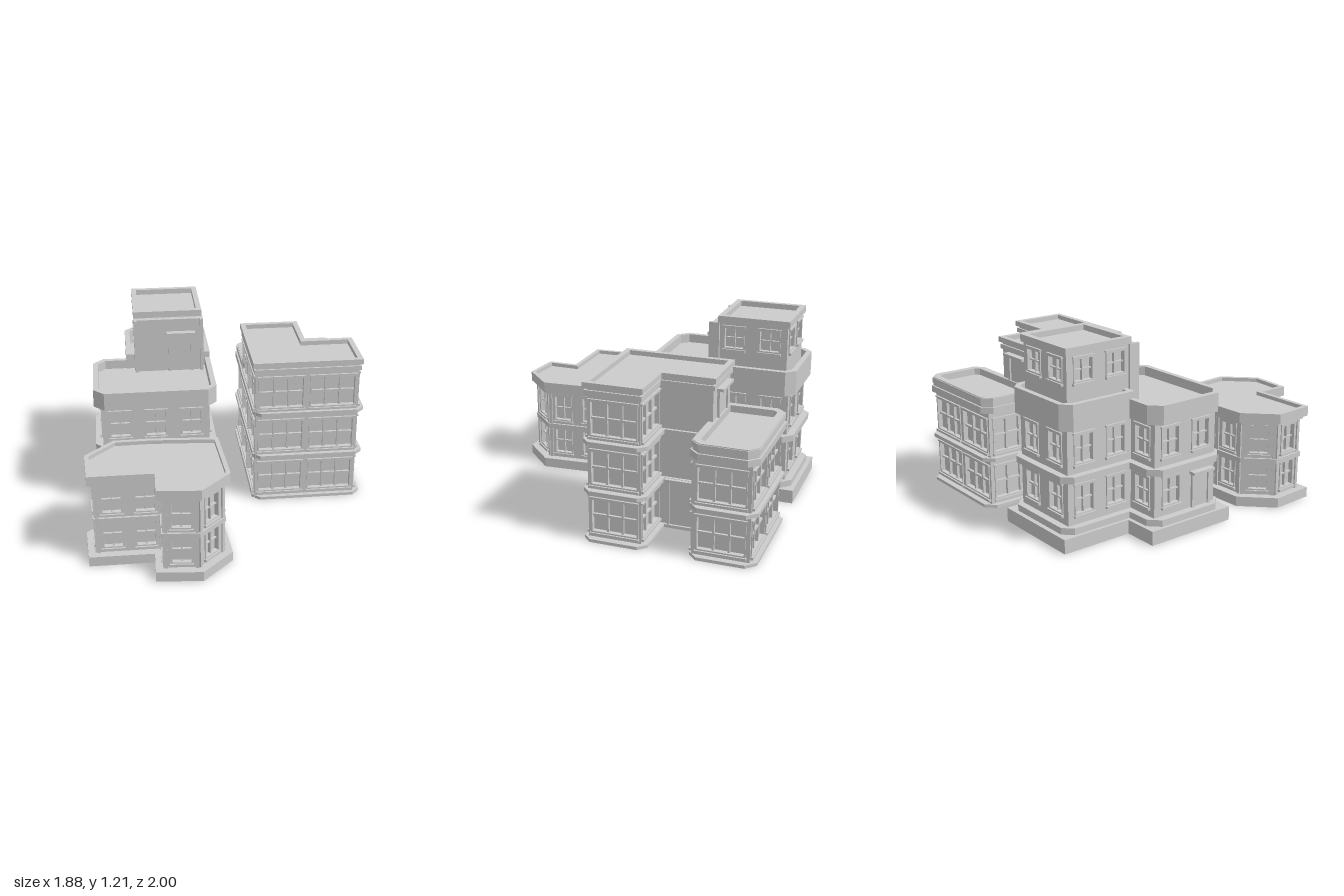
import * as THREE from 'three';

const MAT = new THREE.MeshStandardMaterial({ color: 0xcccccc, flatShading: true });
const WALL = 0.025; // facade thickness, also the window recess

function add(parent, geometry, name) {
  const m = new THREE.Mesh(geometry, MAT);
  m.name = name;
  parent.add(m);
  return m;
}

function box(parent, name, x0, x1, y0, y1, z0, z1) {
  const m = add(parent, new THREE.BoxGeometry(x1 - x0, y1 - y0, z1 - z0), name);
  m.position.set((x0 + x1) / 2, (y0 + y1) / 2, (z0 + z1) / 2);
  return m;
}

const rect = (x0, x1, z0, z1) => [[x0, z0], [x0, z1], [x1, z1], [x1, z0]];
const rectPath = (x, y, w, h) => [[x, y], [x + w, y], [x + w, y + h], [x, y + h]].map(p => new THREE.Vector2(...p));

// Outline moved inward by d, with mitred corners
function inset(poly, d) {
  const n = poly.length;
  const normal = (a, b) => {
    const l = Math.hypot(b[0] - a[0], b[1] - a[1]);
    return [-(b[1] - a[1]) / l, (b[0] - a[0]) / l];
  };
  return poly.map((v, i) => {
    const p = normal(poly[(i + n - 1) % n], v), q = normal(v, poly[(i + 1) % n]);
    const k = d / (1 + p[0] * q[0] + p[1] * q[1]);
    return [v[0] - k * (p[0] + q[0]), v[1] - k * (p[1] + q[1])];
  });
}

// Vertical extrusion of a plan outline, optionally hollow
function prism(parent, name, poly, y0, y1, hole) {
  const pts = o => o.map(([x, z]) => new THREE.Vector2(x, -z));
  const shape = new THREE.Shape(pts(poly));
  if (hole) shape.holes.push(new THREE.Path(pts(hole)));
  const g = new THREE.ExtrudeGeometry(shape, { depth: y1 - y0, bevelEnabled: false });
  g.rotateX(-Math.PI / 2);
  add(parent, g, name).position.y = y0;
}

// Roof slab with a raised rim
function parapet(parent, name, poly, y0, yFloor, y1, t) {
  prism(parent, name + 'Slab', poly, y0, yFloor);
  prism(parent, name + 'Rim', poly, yFloor, y1, inset(poly, t));
}

// Trim, mullions, sill and header of a window, on a wall facing local +z
function windowUnit(parent, x, y, w, h, cols, rows) {
  const g = new THREE.Group();
  g.name = 'window';
  g.position.set(x, y, 0);
  parent.add(g);
  const t = 0.009, bar = cols > 2 ? 0.013 : 0.008;
  const trim = new THREE.Shape(rectPath(-w / 2 - t, -t, w + 2 * t, h + 2 * t));
  trim.holes.push(new THREE.Path(rectPath(-w / 2, 0, w, h)));
  add(g, new THREE.ExtrudeGeometry(trim, { depth: 0.007, bevelEnabled: false }), 'windowTrim');
  for (let i = 1; i < cols; i++) {
    const c = -w / 2 + i * w / cols;
    box(g, 'mullion', c - bar / 2, c + bar / 2, 0, h, -WALL, -0.006);
  }
  for (let j = 1; j < rows; j++) {
    const c = j * h / rows;
    box(g, 'glazingBar', -w / 2, w / 2, c - bar / 2, c + bar / 2, -WALL, -0.008);
  }
  box(g, 'sill', -w / 2 - 0.015, w / 2 + 0.015, -0.024, -t, 0, 0.018);
  box(g, 'header', -w / 2 - 0.015, w / 2 + 0.015, h + t, h + 0.02, 0, 0.013);
}

// One storey: solid core with pierced wall panels.
// counts: per edge, a number of evenly spaced windows or a list of fractions.
function storey(parent, name, poly, y0, y1, counts, win, pilaster = 0) {
  const s = new THREE.Group();
  s.name = name;
  parent.add(s);
  prism(s, 'core', inset(poly, WALL), y0, y1);
  poly.forEach((p, i) => {
    const q = poly[(i + 1) % poly.length], dx = q[0] - p[0], dz = q[1] - p[1], L = Math.hypot(dx, dz);
    const wall = new THREE.Group();
    wall.name = 'wall';
    wall.position.set(p[0], 0, p[1]);
    wall.rotation.y = Math.atan2(-dz, dx);
    s.add(wall);
    const c = counts[i];
    const ts = Array.isArray(c) ? c : Array.from({ length: c }, (_, k) => (k + 0.5) / c);
    const shape = new THREE.Shape(rectPath(0, y0, L, y1 - y0));
    for (const t of ts) {
      shape.holes.push(new THREE.Path(rectPath(t * L - win.w / 2, win.y, win.w, win.h)));
      windowUnit(wall, t * L, win.y, win.w, win.h, win.cols, win.rows);
    }
    const panel = new THREE.ExtrudeGeometry(shape, { depth: WALL, bevelEnabled: false });
    add(wall, panel, 'wallPanel').position.z = -WALL;
    if (pilaster) {
      box(wall, 'pilaster', 0, pilaster, y0, y1, -0.01, 0.01);
      box(wall, 'pilaster', L - pilaster, L, y0, y1, -0.01, 0.01);
    }
  });
}

// Framed door with canopy, centred on x, facing local +z
function door(parent, x, y, z, w, h, turn) {
  const g = new THREE.Group();
  g.name = 'door';
  g.position.set(x, y, z);
  g.rotation.y = turn;
  parent.add(g);
  for (const s of [-1, 1]) box(g, 'doorJamb', s * w / 2 - 0.009, s * w / 2 + 0.009, 0, h, 0, 0.016);
  box(g, 'doorLeaf', -w / 2, w / 2, 0, h, -0.005, 0.005);
  box(g, 'doorCanopy', -w / 2 - 0.02, w / 2 + 0.02, h, h + 0.018, 0, 0.045);
}

// Two-storey house on an irregular plan
function cornerHouse() {
  const g = new THREE.Group();
  g.name = 'cornerHouse';
  const plan = [[-0.94, 0.48], [-0.925, 0.77], [-0.515, 0.77], [-0.52, 0.975], [-0.23, 1],
    [-0.03, 0.8], [-0.06, 0.315], [-0.5, 0.285], [-0.75, 0.29]];
  const walls = inset(plan, 0.055), counts = [1, 2, 1, 1, 1, 2, 2, 1, 1];
  const win = y => ({ y, w: 0.115, h: 0.17, cols: 2, rows: 2 });
  prism(g, 'base', plan, 0, 0.065);
  storey(g, 'groundFloor', walls, 0.065, 0.3, counts, win(0.105), 0.022);
  storey(g, 'upperFloor', walls, 0.3, 0.565, counts, win(0.352), 0.022);
  prism(g, 'belt', inset(plan, 0.04), 0.285, 0.317);
  prism(g, 'moulding', inset(plan, 0.035), 0.545, 0.566);
  parapet(g, 'roof', inset(plan, 0.014), 0.565, 0.605, 0.63, 0.028);
  return g;
}

// Two storeys with a roof terrace and a stair tower
function terraceHouse() {
  const g = new THREE.Group();
  g.name = 'terraceHouse';
  const base = [[-0.88, -0.525], [-0.88, 0.1], [-0.03, 0.1], [-0.03, -1], [-0.65, -1], [-0.65, -0.525]];
  const band = [[-0.86, -0.43], [-0.86, 0], [-0.79, 0.07], [-0.11, 0.07], [-0.05, 0.01], [-0.05, -0.91],
    [-0.11, -0.97], [-0.57, -0.97], [-0.63, -0.91], [-0.63, -0.5], [-0.79, -0.5]];
  const walls = [[-0.81, -0.455], [-0.81, 0.025], [-0.1, 0.025], [-0.1, -0.925], [-0.585, -0.925], [-0.585, -0.455]];
  const win = (y, h = 0.17) => ({ y, w: 0.125, h, cols: 2, rows: 2 });
  prism(g, 'base', base, 0, 0.09);
  prism(g, 'plinth', band, 0.09, 0.132);
  storey(g, 'groundFloor', walls, 0.13, 0.42, [[0.27], 3, 4, 2, 2, 1], win(0.2));
  door(g, -0.81, 0.132, -0.09, 0.13, 0.22, -Math.PI / 2);
  prism(g, 'belt', band, 0.41, 0.452);
  storey(g, 'upperFloor', walls, 0.45, 0.74, [2, 3, 4, 2, 2, 1], win(0.515));
  parapet(g, 'terrace', band, 0.73, 0.79, 0.85, 0.035);
  const rear = [[-0.63, -0.91], [-0.63, -0.46], [-0.05, -0.46], [-0.05, -0.91], [-0.11, -0.97], [-0.57, -0.97]];
  prism(g, 'rearParapet', rear, 0.79, 0.893, inset(rear, 0.035));
  // Stair tower
  const t = new THREE.Group();
  t.name = 'stairTower';
  g.add(t);
  storey(t, 'towerWalls', rect(-0.555, -0.12, -0.9, -0.43), 0.78, 1.166, [2, 0, 2, 2], win(1.0, 0.13));
  parapet(t, 'towerRoof', rect(-0.572, -0.107, -0.915, -0.44), 1.165, 1.175, 1.21, 0.035);
  box(t, 'towerFront', -0.56, -0.115, 0.78, 1.165, -0.44, -0.4);
  box(t, 'frontPilaster', -0.572, -0.55, 0.78, 1.165, -0.45, -0.38);
  box(t, 'frontPilaster', -0.122, -0.1, 0.78, 1.165, -0.45, -0.38);
  door(t, -0.255, 0.79, -0.4, 0.155, 0.27, 0);
  return g;
}

// Three-storey L-shaped block with a lower rear wing
function apartmentBlock() {
  const g = new THREE.Group();
  g.name = 'apartmentBlock';
  const front = [[0.205, -0.62], [0.205, 0.06], [0.895, 0.06], [0.895, -0.28], [0.57, -0.28], [0.57, -0.62]];
  const frontBand = [[0.19, -0.62], [0.19, 0.04], [0.24, 0.09], [0.89, 0.09], [0.94, 0.04], [0.94, -0.27],
    [0.89, -0.32], [0.59, -0.32], [0.59, -0.62]];
  const rear = rect(0.22, 0.9, -0.96, -0.6);
  const rearBand = [[0.19, -0.94], [0.19, -0.6], [0.21, -0.58], [0.88, -0.58], [0.94, -0.64], [0.94, -0.94],
    [0.88, -1], [0.25, -1]];
  const win = y => ({ y, w: 0.29, h: 0.208, cols: 3, rows: 2 });
  const floors = [[0, 0.32, 0.06], [0.32, 0.64, 0.375], [0.64, 0.985, 0.69]];
  floors.forEach(([y0, y1, wy], i) => {
    storey(g, 'frontFloor', front, y0, y1, [2, 2, 1, 1, 0, 0], win(wy));
    prism(g, 'frontBelt', frontBand, y0 && y0 - 0.005, y0 + 0.02);
    if (i < 2) {
      storey(g, 'rearFloor', rear, y0, y1, [1, [0.76], 1, 2], win(wy));
      prism(g, 'rearBelt', rearBand, y0 && y0 - 0.005, y0 + 0.02);
    }
  });
  // Rear roof
  prism(g, 'rearCornice', rearBand, 0.638, 0.68);
  parapet(g, 'rearRoof', inset(rearBand, 0.012), 0.68, 0.695, 0.74, 0.045);
  prism(g, 'rearGroove', inset(rearBand, 0.006), 0.7, 0.735, inset(rearBand, 0.04));
  // Front roof
  prism(g, 'frieze', inset(front, -0.012), 0.94, 0.97);
  parapet(g, 'frontRoof', inset(front, -0.02), 0.985, 0.99, 1.02, 0.035);
  // Entrance in the recess, and the door onto the rear roof
  door(g, 0.57, 0.02, -0.45, 0.21, 0.3, Math.PI / 2);
  door(g, 0.39, 0.69, -0.62, 0.18, 0.22, Math.PI);
  return g;
}

export function createModel() {
  const model = new THREE.Group();
  model.name = 'cityBlock';
  model.add(cornerHouse(), terraceHouse(), apartmentBlock());
  return model;
}
